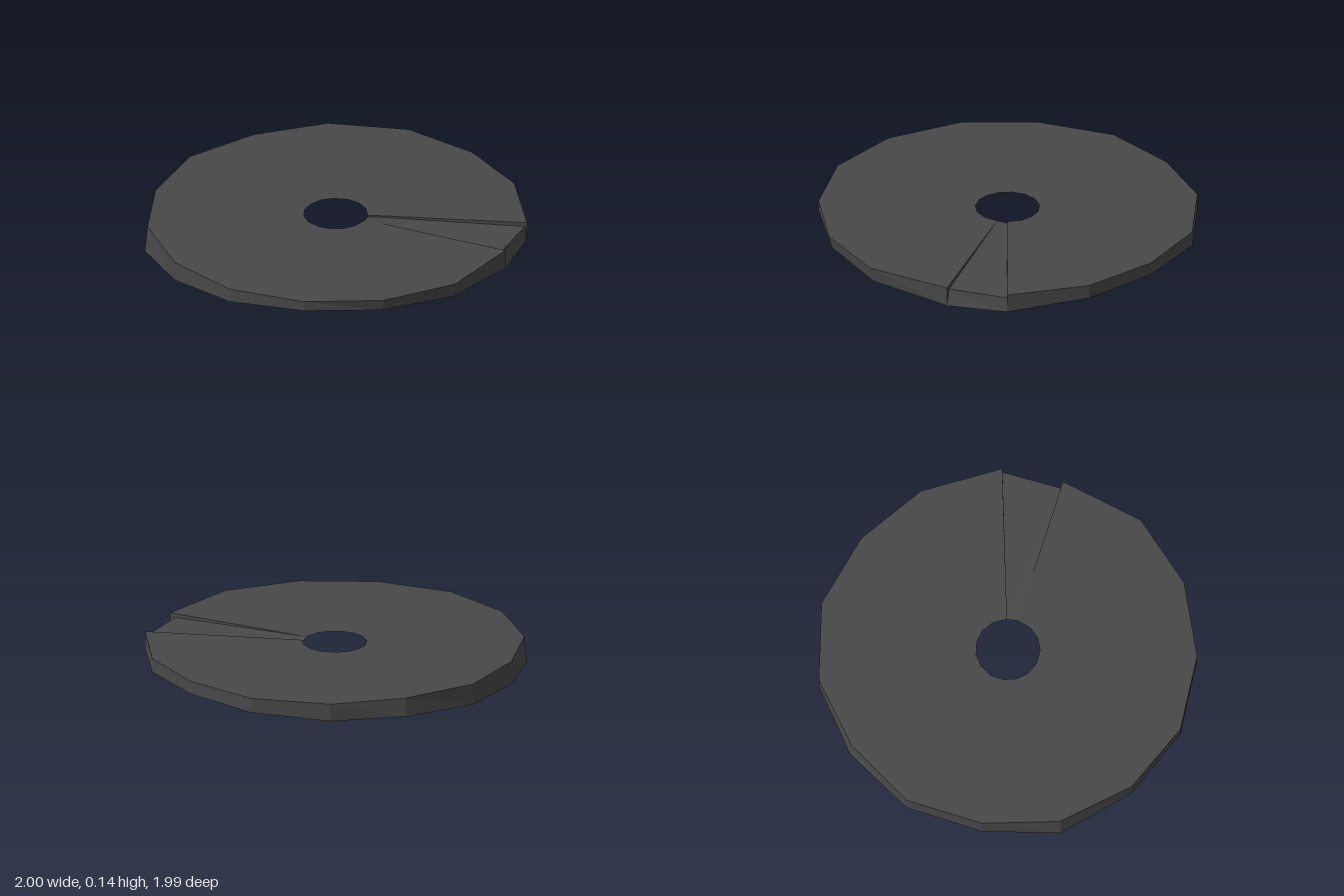
import * as THREE from 'three';

const TOP = 0.145, HOLE = 0.17, LIP = 0.84, WEDGE = 5;

// Rim corners, clockwise from the back: x, z, wall foot height, lip height
const RIM = [
  [-0.03, -1.0, 0.045, 0.025], [0.38, -0.94, 0.05, 0.025], [0.74, -0.7, 0.065, 0.03],
  [0.94, -0.33, 0.075, 0.04], [1.0, 0.08, 0.07, 0.04], [0.88, 0.51, 0.045, 0.04],
  [0.65, 0.745, 0.04, 0.025], [0.25, 0.98, 0.065, 0.035], [-0.17, 0.99, 0.08, 0.05],
  [-0.56, 0.83, 0.09, 0.05], [-0.86, 0.54, 0.07, 0.05], [-1.0, 0.15, 0.04, 0.035],
  [-0.98, -0.28, 0.0, 0.02], [-0.76, -0.63, 0.02, 0.045], [-0.44, -0.9, 0.03, 0.025],
];

// Flat-faced mesh from a list of four-corner faces
function facetMesh(name, quads, material) {
  const pos = [];
  for (const [a, b, c, d] of quads) pos.push(...a, ...b, ...c, ...a, ...c, ...d);
  const geo = new THREE.BufferGeometry();
  geo.setAttribute('position', new THREE.Float32BufferAttribute(pos, 3));
  geo.computeVertexNormals();
  const mesh = new THREE.Mesh(geo, material);
  mesh.name = name;
  return mesh;
}

export function createModel() {
  const stone = new THREE.MeshStandardMaterial({ color: 0x484848, side: THREE.DoubleSide, flatShading: true });
  stone.name = 'dark grey stone';
  const group = new THREE.Group();
  group.name = 'slabDisc';

  const n = RIM.length;
  // Rings of corners; the wall leans out a little at the back and in at the front
  const top = RIM.map(([x, z], i) => {
    const s = i === 0 || i === 12 ? 0.986 : 1;
    return [x * s, TOP, z * s];
  });
  const foot = RIM.map(([x, z, y]) => [x, y, z > 0.9 ? z - 0.015 : z]);
  const lip = RIM.map(([x, z, , y]) => [x * LIP, y, z * LIP]);
  const hole = RIM.map(([x, z]) => {
    const r = HOLE / Math.hypot(x, z);
    return [x * r, TOP, z * r];
  });

  // Sunken wedge corners
  const w0 = [0.87, 0.123, 0.505], w1 = [0.63, 0.125, 0.72];
  const h0 = [hole[WEDGE][0], 0.137, hole[WEDGE][2]], h1 = hole[WEDGE + 1];

  const plate = [], wall = [], flange = [];
  for (let i = 0; i < n; i++) {
    const j = (i + 1) % n;
    flange.push([foot[i], foot[j], lip[j], lip[i]]);
    if (i === WEDGE) {
      wall.push([w1, foot[j], foot[i], w0]);
      continue;
    }
    plate.push([hole[i], hole[j], top[j], top[i]]);
    wall.push([top[j], foot[j], foot[i], top[i]]);
  }
  // Wedge top and the small steps along its two sides
  const k = WEDGE + 1;
  const wedge = [
    [h0, h1, w1, w0],
    [hole[WEDGE], h0, w0, top[WEDGE]],
    [h1, top[k], w1, h1],
    [top[WEDGE], w0, foot[WEDGE], top[WEDGE]],
    [top[k], foot[k], w1, top[k]],
  ];

  group.add(
    facetMesh('topPlate', plate, stone),
    facetMesh('sunkenWedge', wedge, stone),
    facetMesh('outerWall', wall, stone),
    facetMesh('bottomLip', flange, stone),
  );
  return group;
}
